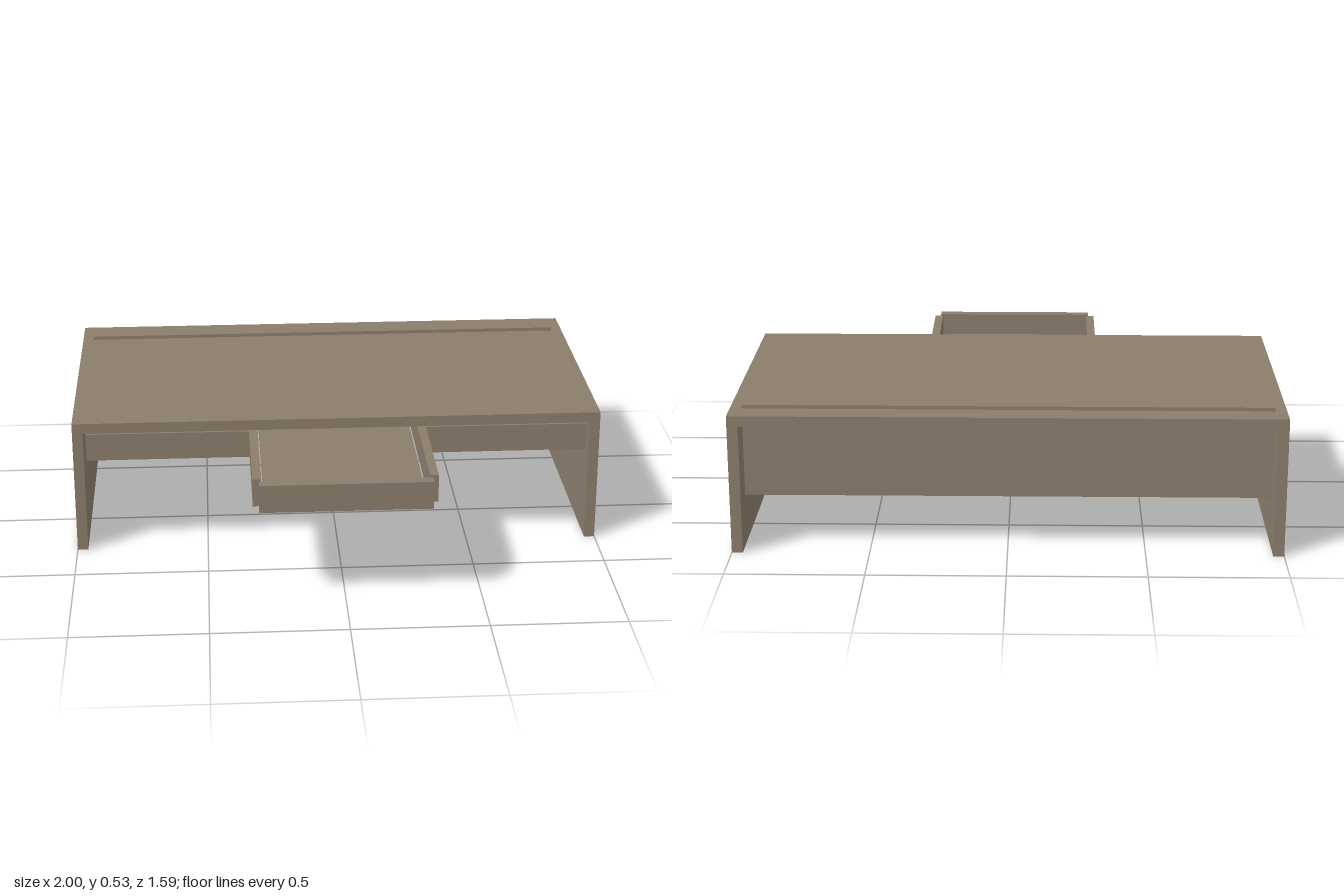
import * as THREE from 'three';

const wood = new THREE.MeshStandardMaterial({ color: 0x8b7d6b });
wood.name = 'taupe wood';

// Box given by its limits on each axis
function box(name, [x0, x1], [y0, y1], [z0, z1]) {
  const mesh = new THREE.Mesh(new THREE.BoxGeometry(x1 - x0, y1 - y0, z1 - z0), wood);
  mesh.position.set((x0 + x1) / 2, (y0 + y1) / 2, (z0 + z1) / 2);
  mesh.name = name;
  return mesh;
}

// Open-backed drawer: front, floor and two side walls set back from the front
function drawer(name, centreX, frontZ, halfFront, halfFloor, wallInner, wallOuter) {
  const group = new THREE.Group();
  group.name = name;
  group.position.set(centreX, 0, frontZ);
  group.add(
    box('drawerFront', [-halfFront, halfFront], [0.37, 0.475], [-0.04, 0]),
    box('drawerFloor', [-halfFloor, halfFloor], [0.371, 0.388], [-0.825, -0.04])
  );
  for (const [side, s] of [['left', 1], ['right', -1]]) {
    const xs = [s * wallInner, s * wallOuter].sort((a, b) => a - b);
    group.add(box(side + 'DrawerWall', xs, [0.37, 0.475], [-0.865, -0.06]));
  }
  return group;
}

export function createModel() {
  const desk = new THREE.Group();
  desk.name = 'desk';

  // Carcass: top and full-depth side panels
  desk.add(box('deskTop', [-0.96, 0.96], [0.48, 0.52], [-0.796, 0.284]));
  desk.add(box('leftPanel', [0.96, 1], [0, 0.52], [-0.796, 0.284]));
  desk.add(box('rightPanel', [-1, -0.96], [0, 0.52], [-0.796, 0.284]));

  // Back panel, rising slightly through the top as a low ridge
  desk.add(box('backPanel', [-0.957, 0.957], [0.19, 0.533], [-0.703, -0.645]));

  // Pulled-out middle drawer and two closed ones
  desk.add(drawer('middleDrawer', 0, 0.796, 0.313, 0.294, 0.303, 0.335));
  for (const [side, s] of [['left', 1], ['right', -1]]) {
    desk.add(drawer(side + 'Drawer', s * 0.643, 0.282, 0.307, 0.29, 0.275, 0.305));
  }
  return desk;
}
